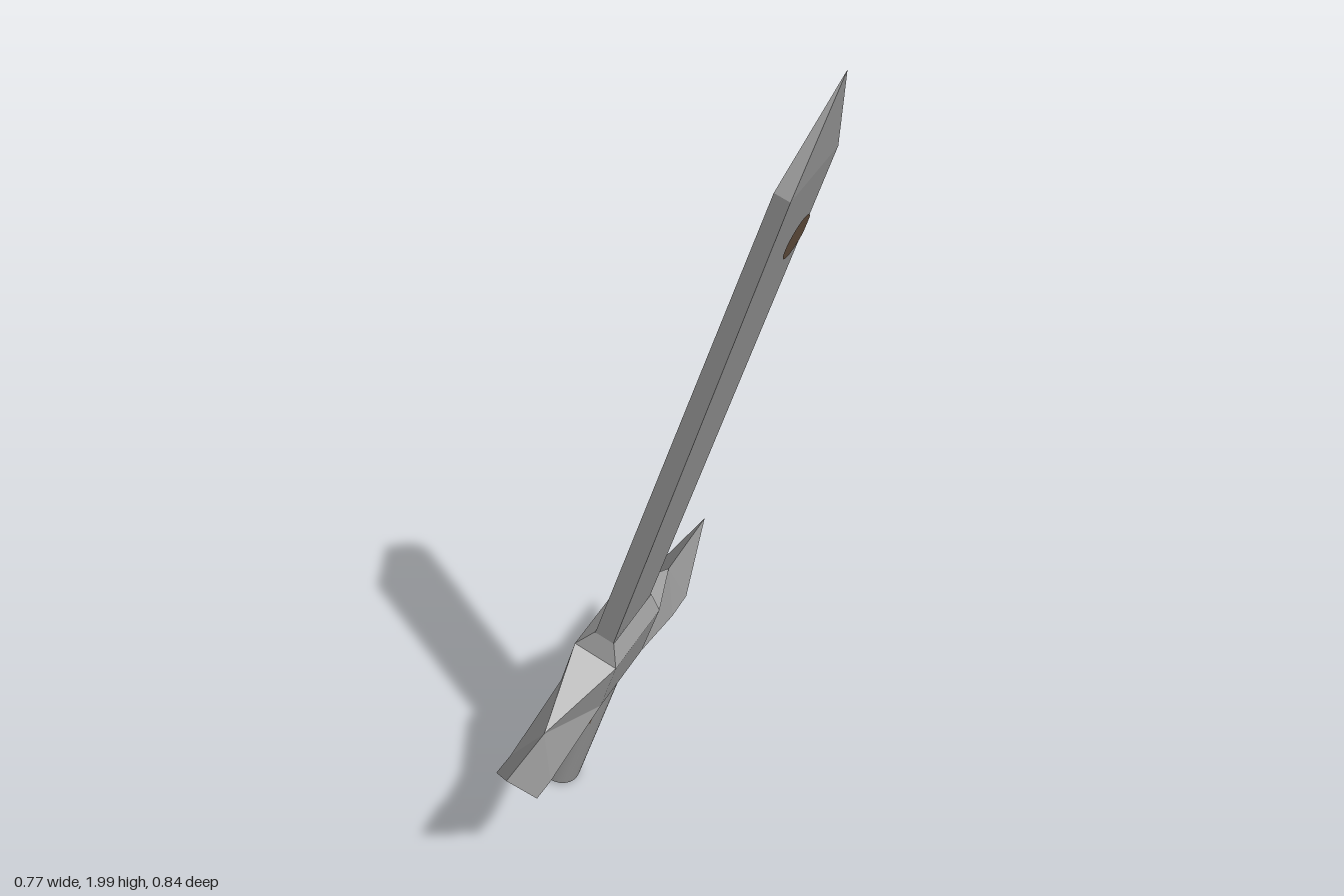
import * as THREE from 'three';

const steel = new THREE.MeshStandardMaterial({ color: 0xa6a6a6, name: 'steel' });
const rust = new THREE.MeshStandardMaterial({ color: 0x6e5845, name: 'rust' });
const lerp = THREE.MathUtils.lerp;

// Flat-shaded mesh from polygons, each a counter-clockwise list of [x, y, z]
function facets(name, polygons, material) {
  const pos = [];
  for (const p of polygons)
    for (let i = 1; i < p.length - 1; i++) pos.push(...p[0], ...p[i], ...p[i + 1]);
  const g = new THREE.BufferGeometry();
  g.setAttribute('position', new THREE.Float32BufferAttribute(pos, 3));
  g.computeVertexNormals();
  const mesh = new THREE.Mesh(g, material);
  mesh.name = name;
  return mesh;
}

// Rectangular loft through rings of [height, half thickness, half width]
function loft(name, rings, material) {
  const corners = rings.map(([y, x, z]) => [[x, y, z], [x, y, -z], [-x, y, -z], [-x, y, z]]);
  const polys = [[...corners[0]].reverse()];
  for (let r = 0; r < corners.length - 1; r++)
    for (let i = 0; i < 4; i++) {
      const j = (i + 1) % 4, a = corners[r], b = corners[r + 1];
      polys.push(r === rings.length - 2 && rings[r + 1][1] === 0
        ? [a[i], a[j], b[i]] : [a[i], a[j], b[j], b[i]]);
    }
  return facets(name, polys, material);
}

// One arm of the crossguard, pointing to +z
function guardArm(name) {
  const a = [0.05, 0.556, 0.095], b = [0.05, 0.41, 0.09], m = [0.05, 0.34, 0.27], e = [0.05, 0.35, 0.33];
  const ridge = [0, 0.475, 0.27], tip = [0, 0.498, 0.428];
  const flip = ([x, y, z]) => [-x, y, z];
  const side = [[a, ridge, b], [b, ridge, m], [ridge, tip, e], [ridge, e, m]];
  const other = side.map(p => p.map(flip).reverse());
  return facets(name, [
    ...side, ...other,
    [a, flip(a), ridge], [e, tip, flip(e)],
    [b, m, flip(m), flip(b)], [m, e, flip(e), flip(m)],
  ], steel);
}

export function createModel() {
  const sword = new THREE.Group();
  sword.name = 'sword';

  // Blade: tapered bar with a pointed end
  const base = [0.6, 0.022, 0.08], shoulder = [1.89, 0.016, 0.092];
  sword.add(loft('blade', [base, shoulder, [2.11, 0, 0]], steel));
  const bladeAt = y => {
    const t = (y - base[0]) / (shoulder[0] - base[0]);
    return [lerp(base[1], shoulder[1], t), lerp(base[2], shoulder[2], t)];
  };

  // Rust spot on the blade face, cut off by the edge
  const spot = [];
  for (let i = 0; i < 28; i++) {
    const t = (i / 28) * Math.PI * 2;
    const y = 1.705 + 0.045 * Math.sin(t);
    const [hx, hz] = bladeAt(y);
    spot.push([hx + 0.002, y, Math.max(-0.049 - 0.045 * Math.cos(t), -hz)]);
  }
  sword.add(facets('bladeSpot', [spot], rust));

  // Rust strip along the narrow edge
  const [x0, z0] = bladeAt(1.42), [x1, z1] = bladeAt(1.87), o = 0.002;
  sword.add(facets('bladeEdgeStrip', [[
    [x0, 1.42, -z0 - o], [-x0, 1.42, -z0 - o], [-x1, 1.87, -z1 - o], [x1, 1.87, -z1 - o],
  ]], rust));

  // Crossguard: centre block with collar, and two mirrored arms
  sword.add(loft('guardBlock', [[0.41, 0.05, 0.09], [0.556, 0.05, 0.095], [0.606, 0.023, 0.081]], steel));
  const armBack = guardArm('guardArmBack');
  armBack.rotation.y = Math.PI;
  sword.add(guardArm('guardArmFront'), armBack);
  sword.add(facets('guardArmPatch', [[
    [0.049, 0.348, -0.33], [0.049, 0.342, -0.295], [-0.049, 0.342, -0.295], [-0.049, 0.348, -0.33],
  ]], rust));

  // Grip: round bar built from coloured sectors (degrees from +z towards +x)
  const R = 0.046;
  const sector = (name, y0, y1, from, to, material) => {
    const rad = Math.PI / 180;
    const g = new THREE.CylinderGeometry(R, R, y1 - y0, Math.ceil((to - from) / 11), 1, true,
      from * rad, (to - from) * rad);
    const mesh = new THREE.Mesh(g, material);
    mesh.name = name;
    mesh.position.y = (y0 + y1) / 2;
    sword.add(mesh);
  };
  sector('gripBackStripe', 0, 0.43, 148, 245, rust);
  sector('gripLower', 0, 0.25, 245, 508, steel);
  sector('gripUpperSide', 0.25, 0.43, 245, 315, steel);
  sector('gripFrontPatch', 0.25, 0.43, 315, 405, rust);
  sector('gripUpperSide', 0.25, 0.43, 405, 508, steel);
  const cap = new THREE.Mesh(new THREE.CircleGeometry(R, 32), steel);
  cap.name = 'gripEnd';
  cap.rotation.x = Math.PI / 2;
  sword.add(cap);

  // Lean the whole sword
  const up = new THREE.Vector3(0.346, 0.938, 0.033).normalize();
  const across = new THREE.Vector3(0.169, -0.099, 0.98);
  const thick = new THREE.Vector3().crossVectors(up, across).normalize();
  across.crossVectors(thick, up);
  sword.quaternion.setFromRotationMatrix(new THREE.Matrix4().makeBasis(thick, up, across));
  sword.position.set(-0.348, 0.02, -0.015);

  const model = new THREE.Group();
  model.name = 'leaningSword';
  model.add(sword);
  return model;
}
